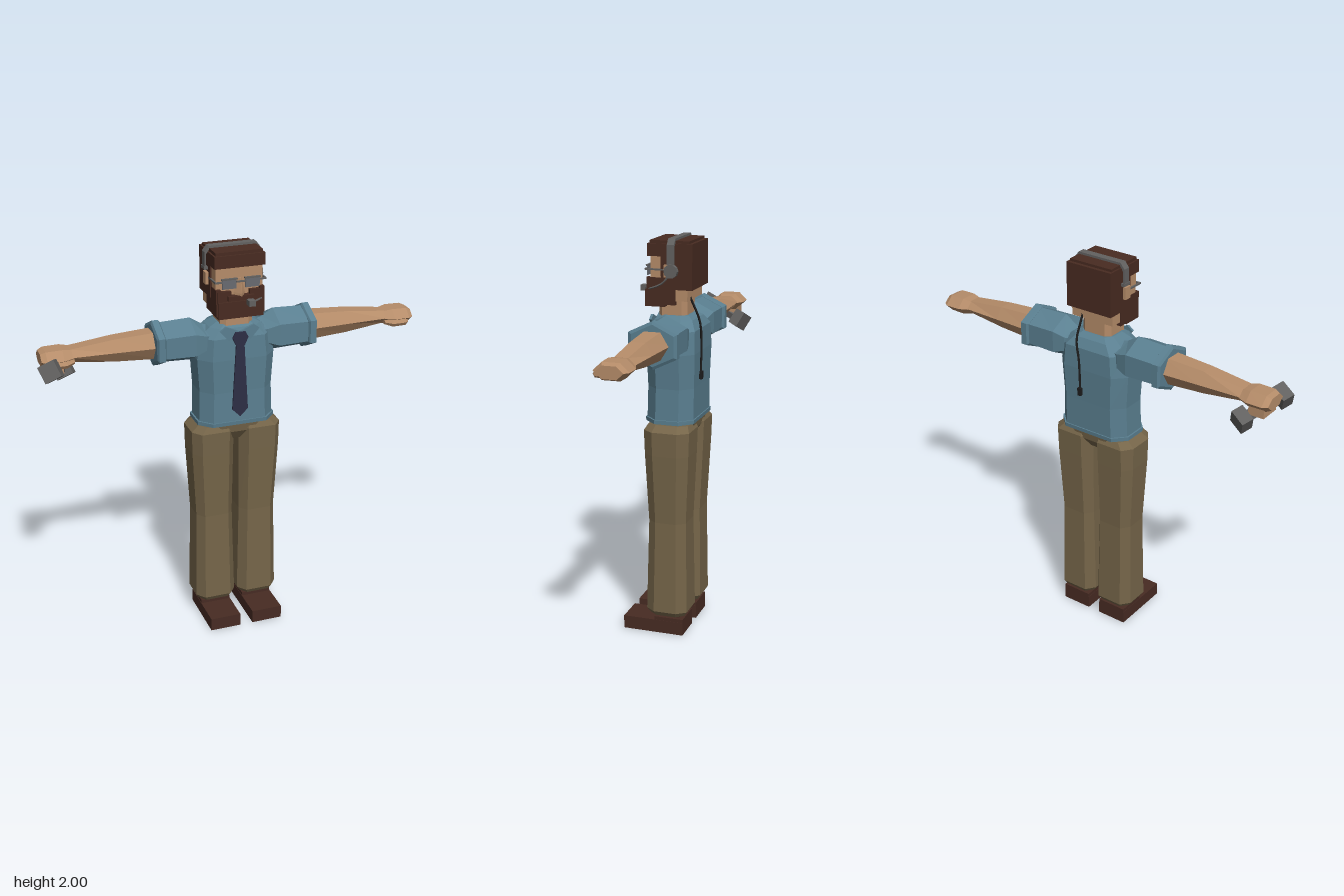
import * as THREE from 'three';

const mat = (name, color) => {
  const m = new THREE.MeshStandardMaterial({ color });
  m.name = name;
  return m;
};

// Cross-section outlines as (u, v) pairs, counter-clockwise
const ngon = (n, phase = 0) => Array.from({ length: n }, (_, i) => {
  const a = phase + (i / n) * Math.PI * 2;
  return [Math.cos(a), Math.sin(a)];
});
const octagon = (a, b) => [[1, -a], [1, a], [b, 1], [-b, 1], [-1, a], [-1, -a], [-b, -1], [b, -1]];

// Faceted solid through sections [w, ru, rv, cu, cv]; axis y uses u=z, v=x; axis x uses u=y, v=z
function loft(sections, ring, axis = 'y') {
  const n = ring.length, pos = [], idx = [];
  for (const [w, ru, rv, cu = 0, cv = 0] of sections)
    for (const [u, v] of ring) {
      const a = cu + u * ru, b = cv + v * rv;
      pos.push(...(axis === 'y' ? [b, w, a] : [w, a, b]));
    }
  const last = (sections.length - 1) * n;
  for (let k = 0; k < last; k += n)
    for (let i = 0; i < n; i++) {
      const j = (i + 1) % n;
      idx.push(k + i, k + j, k + n + j, k + i, k + n + j, k + n + i);
    }
  for (let i = 1; i < n - 1; i++) idx.push(0, i + 1, i, last, last + i, last + i + 1);
  const g = new THREE.BufferGeometry();
  g.setAttribute('position', new THREE.Float32BufferAttribute(pos, 3));
  g.setIndex(idx);
  return flat(g);
}

function flat(g) {
  const f = g.index ? g.toNonIndexed() : g;
  f.computeVertexNormals();
  return f;
}

// Thin plate from a 2D outline
function plate(points, depth) {
  return new THREE.ExtrudeGeometry(new THREE.Shape(points.map(p => new THREE.Vector2(...p))), { depth, bevelEnabled: false });
}

export function createModel() {
  const shirt = mat('shirt blue', 0x5a7f90), trousers = mat('trouser khaki', 0x756549);
  const skin = mat('skin', 0xb58c69), hair = mat('hair brown', 0x482b21), shoe = mat('shoe brown', 0x472b23);
  const metal = mat('grey', 0x626160), navy = mat('tie navy', 0x2d2e45), black = mat('cable black', 0x1d1c1c);
  const glass = mat('lens grey', 0x686b70);

  const root = new THREE.Group();
  const body = new THREE.Group();
  body.name = 'body';
  body.position.x = 0.016;
  root.add(body);
  const add = (name, geo, m, parent = body) => {
    const o = new THREE.Mesh(geo, m);
    o.name = name;
    parent.add(o);
    return o;
  };
  // Box from its minimum and maximum corners
  const box = (name, m, x0, x1, y0, y1, z0, z1) => {
    const o = add(name, new THREE.BoxGeometry(x1 - x0, y1 - y0, z1 - z0), m);
    o.position.set((x0 + x1) / 2, (y0 + y1) / 2, (z0 + z1) / 2);
    return o;
  };
  const tube = (name, m, pts, r, seg = 16) => add(name, flat(new THREE.TubeGeometry(
    new THREE.CatmullRomCurve3(pts.map(p => new THREE.Vector3(...p))), seg, r, 5)), m);

  const bodyRing = octagon(0.7, 0.5), legRing = octagon(0.65, 0.55);
  const hexUp = ngon(6), hexSide = ngon(6, Math.PI / 6);

  // Legs and shoes
  for (const s of [-1, 1]) {
    const side = s > 0 ? 'left' : 'right';
    add(side + 'Leg', loft([
      [0.1, 0.09, 0.09, -0.048, s * 0.114], [0.125, 0.106, 0.106, -0.048, s * 0.114],
      [0.6, 0.096, 0.096, -0.05, s * 0.115], [0.95, 0.112, 0.108, -0.05, s * 0.122],
      [1.07, 0.116, 0.11, -0.05, s * 0.122], [1.1, 0.1, 0.085, -0.05, s * 0.11]], legRing), trousers);
    const x = s * 0.114;
    box(side + 'ShoeSole', shoe, x - 0.08, x + 0.08, 0, 0.067, -0.135, 0.18);
    box(side + 'ShoeHeel', shoe, x - 0.078, x + 0.078, 0.067, 0.085, -0.135, 0.015);
    box(side + 'Ankle', shoe, x - 0.055, x + 0.055, 0.085, 0.11, -0.11, 0);
  }

  // Hips and torso
  add('hips', loft([[1.01, 0.07, 0.035, -0.05], [1.06, 0.105, 0.1, -0.05], [1.13, 0.115, 0.185, -0.05]], bodyRing), trousers);
  add('shirtHem', loft([[1.105, 0.122, 0.2, -0.05], [1.125, 0.124, 0.2, -0.05]], bodyRing), shirt);
  add('torso', loft([
    [1.11, 0.118, 0.192, -0.05], [1.28, 0.117, 0.187, -0.053], [1.45, 0.122, 0.198, -0.053],
    [1.56, 0.118, 0.185, -0.054], [1.605, 0.095, 0.13, -0.052], [1.625, 0.07, 0.09, -0.05]], bodyRing), shirt);

  // Collar flaps and tie
  for (const s of [-1, 1]) {
    const pts = [[0, 1.592], [s * 0.055, 1.548], [s * 0.1, 1.6], [s * 0.07, 1.622]];
    const flap = add('collarFlap', plate(pts, 0.012), shirt);
    flap.position.z = 0.058;
  }
  add('tieBlade', plate([[-0.02, 1.54], [-0.04, 1.19], [0, 1.15], [0.04, 1.19], [0.02, 1.54]], 0.009), navy).position.z = 0.068;
  add('tieKnot', plate([[-0.04, 1.565], [-0.022, 1.525], [0.022, 1.525], [0.04, 1.565], [0.025, 1.592], [-0.025, 1.592]], 0.018), navy).position.z = 0.062;

  // Arms, the right one turned about the body axis
  for (const s of [-1, 1]) {
    const arm = new THREE.Group();
    arm.name = s > 0 ? 'leftArm' : 'rightArm';
    arm.position.set(0, 1.54, -0.055);
    arm.rotation.y = s > 0 ? 0 : Math.PI;
    body.add(arm);
    add('sleeve', loft([[0.12, 0.06, 0.09], [0.155, 0.07, 0.11], [0.215, 0.108, 0.125], [0.38, 0.102, 0.122]], hexUp, 'x'), shirt, arm);
    add('cuff', loft([[0.365, 0.104, 0.124], [0.372, 0.115, 0.138], [0.403, 0.115, 0.138], [0.41, 0.1, 0.12]], hexUp, 'x'), shirt, arm);
    add('forearm', loft([[0.38, 0.078, 0.082], [0.6, 0.064, 0.072], [0.81, 0.036, 0.064]], hexSide, 'x'), skin, arm);
    add('hand', loft([[0.8, 0.036, 0.064, -0.002], [0.85, 0.048, 0.084, -0.004], [0.93, 0.046, 0.084, -0.004], [0.955, 0.034, 0.066, -0.004]], hexSide, 'x'), skin, arm);
    add('thumb', loft([[0.8, 0.012, 0.012, -0.018, s * 0.06], [0.84, 0.02, 0.022, -0.024, s * 0.07],
      [0.91, 0.019, 0.02, -0.024, s * 0.072], [0.925, 0.01, 0.012, -0.022, s * 0.07]], hexSide, 'x'), skin, arm);
  }

  // Telephone handset held under the right hand
  const handset = new THREE.Group();
  handset.name = 'handset';
  handset.position.set(-0.862, 1.475, -0.033);
  handset.lookAt(-0.91, 1.51, 0.065);
  root.add(handset);
  add('handsetGrip', new THREE.BoxGeometry(0.04, 0.035, 0.23), metal, handset);
  for (const s of [-1, 1]) {
    const end = add(s > 0 ? 'earpiece' : 'mouthpiece', new THREE.BoxGeometry(0.085, 0.085, 0.06), metal, handset);
    end.position.z = s * 0.112;
    end.rotation.z = 0.5;
  }
  box('curledFingers', skin, -0.93, -0.85, 1.465, 1.51, -0.11, 0.0);

  // Neck, head, nose and ears
  add('neck', loft([[1.58, 0.072, 0.082, -0.04], [1.72, 0.072, 0.082, -0.04]], octagon(0.7, 0.7)), skin);
  box('head', skin, -0.118, 0.118, 1.7, 1.95, -0.13, 0.055);
  add('nose', loft([[1.775, 0.04, 0.03, 0.055], [1.79, 0.04, 0.028, 0.055], [1.86, 0.012, 0.012, 0.055]], ngon(4)), skin);
  for (const s of [-1, 1]) box('ear', skin, s * 0.13 - 0.012, s * 0.13 + 0.012, 1.815, 1.875, -0.06, -0.02);

  // Hair and beard
  box('hairFringe', hair, -0.127, 0.127, 1.912, 1.972, -0.15, 0.068);
  box('hairTop', hair, -0.118, 0.118, 1.965, 1.987, -0.14, 0.058);
  box('hairBack', hair, -0.127, 0.127, 1.755, 1.975, -0.157, -0.085);
  for (const s of [-1, 1]) {
    box('sideHair', hair, s * 0.119 - 0.008, s * 0.119 + 0.008, 1.755, 1.93, -0.12, 0);
    box('beardSide', hair, s * 0.11 - 0.012, s * 0.11 + 0.012, 1.68, 1.81, -0.07, 0.075);
    const cheek = s * 0.082;
    box('beardCheek', hair, cheek - 0.035, cheek + 0.035, 1.68, 1.8, 0.03, 0.076);
  }
  box('chinBeard', hair, -0.114, 0.114, 1.668, 1.75, -0.015, 0.085);
  box('moustache', hair, -0.065, 0.065, 1.755, 1.778, 0.04, 0.09);

  // Glasses
  for (const s of [-1, 1]) {
    const x = s * 0.058;
    box('lens', glass, x - 0.036, x + 0.036, 1.815, 1.862, 0.076, 0.082);
    box('browBar', metal, x - 0.04, x + 0.04, 1.859, 1.866, 0.074, 0.086);
    box('temple', metal, s * 0.125 - 0.004, s * 0.125 + 0.004, 1.845, 1.853, -0.03, 0.08);
    box('hinge', metal, s * 0.11 - 0.018, s * 0.11 + 0.018, 1.845, 1.853, 0.074, 0.082);
  }
  box('bridge', metal, -0.024, 0.024, 1.845, 1.852, 0.078, 0.088);

  // Headset: band, ear cup, boom and microphone
  const bandPath = [[-0.142, 1.885], [-0.142, 1.97], [-0.12, 1.998], [0.12, 1.998], [0.142, 1.97], [0.142, 1.84]];
  const inner = bandPath.map(([x, y]) => [x * 0.94, y > 1.96 ? y - 0.011 : y]).reverse();
  add('headband', plate([...bandPath, ...inner].reverse(), 0.036), metal).position.z = -0.071;
  box('bandPad', metal, -0.145, -0.12, 1.885, 1.9, -0.075, -0.03);
  const cup = add('earCup', flat(new THREE.CylinderGeometry(0.034, 0.034, 0.035, 10)), metal);
  cup.rotation.z = Math.PI / 2;
  cup.position.set(0.134, 1.845, -0.055);
  tube('microphoneBoom', metal, [[0.145, 1.83, -0.05], [0.14, 1.785, -0.01], [0.12, 1.755, 0.06], [0.05, 1.745, 0.105]], 0.005);
  box('microphone', metal, 0.025, 0.058, 1.732, 1.76, 0.088, 0.128);

  // Cable hanging down the back
  tube('cable', black, [[0.06, 1.77, -0.1], [0.06, 1.69, -0.138], [0.06, 1.6, -0.176], [0.045, 1.5, -0.18], [0.042, 1.33, -0.176]], 0.006, 14);
  box('cablePlug', black, 0.032, 0.052, 1.31, 1.35, -0.186, -0.17);

  return root;
}
